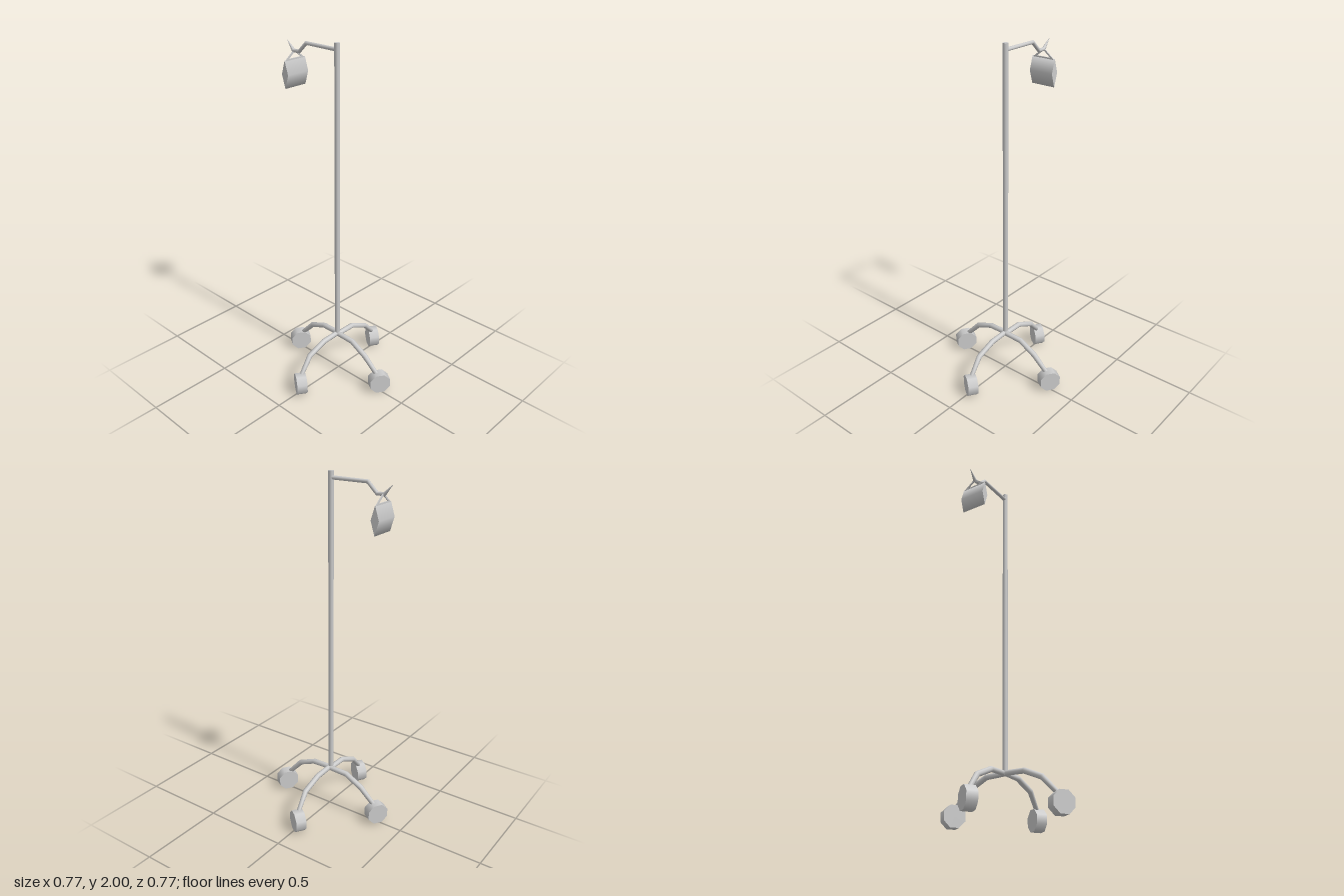
import * as THREE from 'three';

const material = new THREE.MeshStandardMaterial({ color: 0xcccccc, side: THREE.DoubleSide });

function add(parent, geometry, name, x = 0, y = 0, z = 0) {
  const mesh = new THREE.Mesh(geometry, material);
  mesh.name = name;
  mesh.position.set(x, y, z);
  parent.add(mesh);
  return mesh;
}

// Bent rod: one ring of vertices per path point [x, y, z, radius], capped at both ends
function rod(path, sides = 8) {
  const points = path.map(([x, y, z]) => new THREE.Vector3(x, y, z));
  const positions = [];
  const index = [];
  const last = points.length - 1;
  points.forEach((p, i) => {
    const tangent = new THREE.Vector3();
    if (i > 0) tangent.add(p.clone().sub(points[i - 1]).normalize());
    if (i < last) tangent.add(points[i + 1].clone().sub(p).normalize());
    tangent.normalize();
    const side = new THREE.Vector3(0, 1, 0).cross(tangent).normalize();
    const up = tangent.clone().cross(side);
    for (let j = 0; j < sides; j++) {
      const a = (j / sides) * Math.PI * 2;
      const v = p.clone().addScaledVector(side, Math.cos(a) * path[i][3]).addScaledVector(up, Math.sin(a) * path[i][3]);
      positions.push(v.x, v.y, v.z);
      if (i < last) {
        const k = (j + 1) % sides;
        const b = i * sides;
        index.push(b + j, b + k, b + sides + j, b + k, b + sides + k, b + sides + j);
      }
    }
  });
  for (let j = 1; j < sides - 1; j++) {
    index.push(0, j + 1, j);
    index.push(last * sides, last * sides + j, last * sides + j + 1);
  }
  const geometry = new THREE.BufferGeometry();
  geometry.setAttribute('position', new THREE.Float32BufferAttribute(positions, 3));
  geometry.setIndex(index);
  geometry.computeVertexNormals();
  return geometry;
}

export function createModel() {
  const model = new THREE.Group();
  model.name = 'dripStand';
  const cx = -0.004;

  // Upright pole
  add(model, new THREE.CylinderGeometry(0.015, 0.015, 1.76, 8), 'pole', cx, 1.12, -0.007);

  // Four curved legs, each ending in a swivelled wheel
  const legGeometry = rod([
    [0, 0.25, 0.004, 0.015],
    [0.12, 0.247, 0.004, 0.016],
    [0.23, 0.198, 0.012, 0.016],
    [0.312, 0.108, 0.002, 0.013],
  ]);
  const wheelGeometry = new THREE.CylinderGeometry(0.064, 0.064, 0.06, 8);
  wheelGeometry.rotateY(Math.PI / 8);
  wheelGeometry.rotateZ(Math.PI / 2);
  for (let i = 0; i < 4; i++) {
    const leg = new THREE.Group();
    leg.name = 'leg' + (i + 1);
    leg.position.set(0, 0, -0.004);
    leg.rotation.y = (i * Math.PI) / 2;
    add(leg, legGeometry, 'legTube');
    add(leg, wheelGeometry, 'wheel', 0.326, 0.06, -0.006).rotation.y = -0.59;
    model.add(leg);
  }

  // Hook arm reaching backwards, tapering to an upturned point
  add(model, rod([
    [cx, 1.965, -0.005, 0.011],
    [cx, 1.965, -0.23, 0.011],
    [cx, 1.912, -0.285, 0.011],
    [cx, 1.912, -0.328, 0.011],
    [cx, 1.962, -0.374, 0.001],
  ]), 'hookArm');

  // Fluid bag: a diamond-section prism lying across the hook
  const bagGeometry = new THREE.CylinderGeometry(1, 1, 0.15, 4);
  bagGeometry.rotateZ(Math.PI / 2);
  bagGeometry.scale(1, 0.077, 0.024);
  add(model, bagGeometry, 'bag', 0, 1.793, -0.324);

  // Triangular hanger loop joining the bag to the hook
  const loop = new THREE.Shape([
    new THREE.Vector2(-0.07, 0), new THREE.Vector2(0.07, 0), new THREE.Vector2(0, 0.054),
  ]);
  loop.holes.push(new THREE.Path([
    new THREE.Vector2(-0.045, 0.008), new THREE.Vector2(0, 0.042), new THREE.Vector2(0.045, 0.008),
  ]));
  add(model, new THREE.ExtrudeGeometry(loop, { depth: 0.006, bevelEnabled: false }), 'hangerLoop', 0, 1.865, -0.327);

  return model;
}
